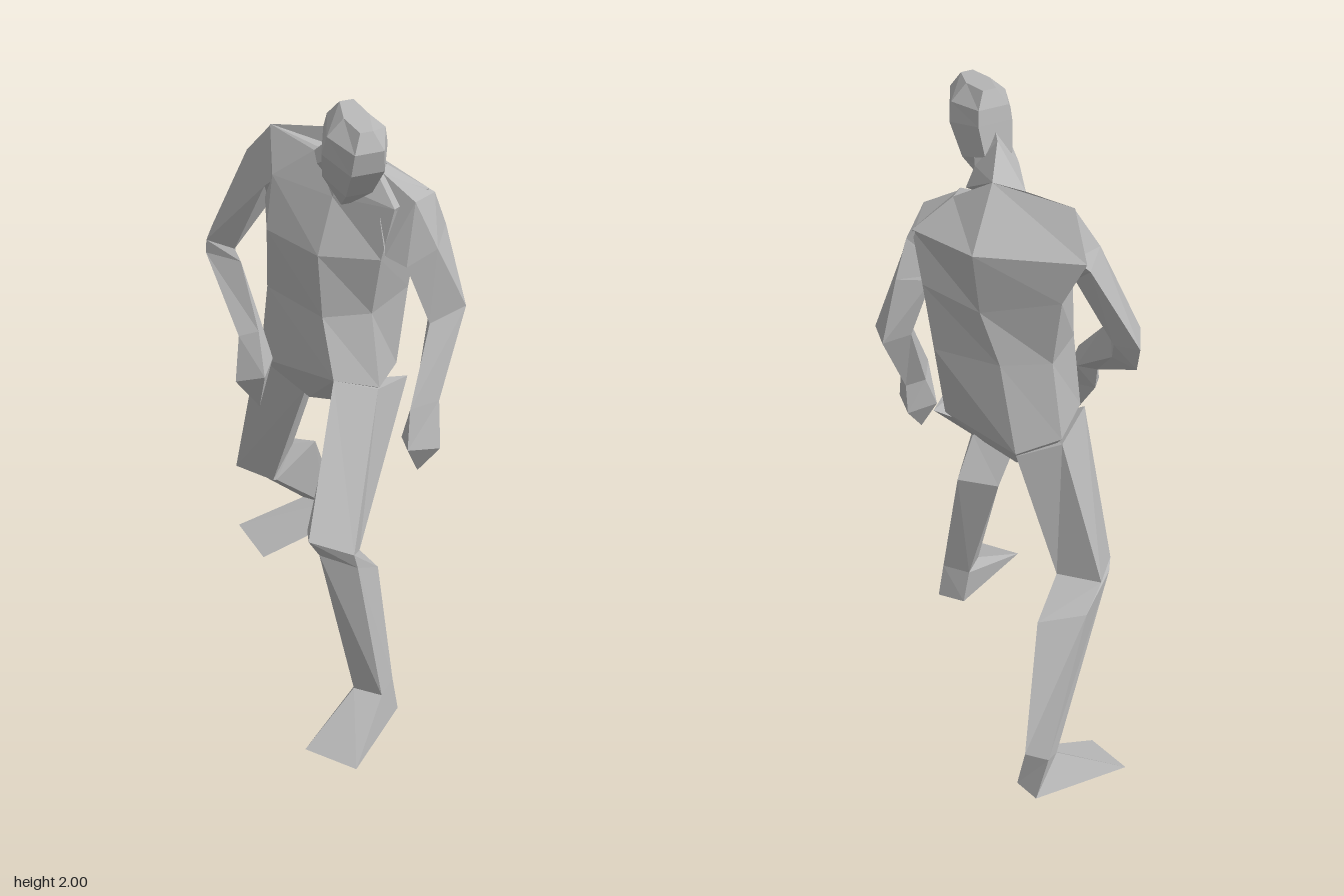
import * as THREE from 'three';

const clay = new THREE.MeshStandardMaterial({ color: 0xb8b8b8, flatShading: true });
clay.name = 'clay grey';

// Joins equal-sized rings of points into a closed faceted solid, facing outward.
function loft(name, rings) {
  const n = rings[0].length;
  const tris = [];
  for (let i = 0; i + 1 < rings.length; i++) {
    const a = rings[i], b = rings[i + 1];
    for (let j = 0; j < n; j++) {
      const k = (j + 1) % n;
      tris.push([a[j], a[k], b[k]], [a[j], b[k], b[j]]);
    }
  }
  const first = rings[0], last = rings[rings.length - 1];
  for (let j = 1; j + 1 < n; j++) {
    tris.push([first[0], first[j + 1], first[j]], [last[0], last[j], last[j + 1]]);
  }
  const V = p => new THREE.Vector3(...p);
  const centre = new THREE.Vector3();
  rings.flat().forEach(p => centre.add(V(p)));
  centre.divideScalar(n * rings.length);
  let volume = 0;
  const solid = tris.filter(([a, b, c]) => a !== b && b !== c && a !== c);
  for (const [a, b, c] of solid) {
    volume += V(a).sub(centre).dot(V(b).sub(centre).cross(V(c).sub(centre)));
  }
  const pos = solid.flatMap(([a, b, c]) => (volume < 0 ? [a, c, b] : [a, b, c])).flat();
  const geo = new THREE.BufferGeometry();
  geo.setAttribute('position', new THREE.Float32BufferAttribute(pos, 3));
  geo.computeVertexNormals();
  const mesh = new THREE.Mesh(geo, clay);
  mesh.name = name;
  return mesh;
}

const tip = (p, n) => Array(n).fill(p);

export function createModel() {
  const group = new THREE.Group();
  group.name = 'walkingFigure';

  // Torso, crotch to shoulders: right back, mid back, left back, left front, mid front, right front
  group.add(loft('torso', [
    [[-.08, .94, -.1], [-.02, .92, -.12], [.1, .93, -.07], [.1, .95, .08], [.0, .92, .06], [-.08, .95, .02]],
    [[-.16, 1.04, -.12], [-.04, 1.0, -.185], [.22, 1.02, -.08], [.245, 1.05, .1], [.135, 1.09, .18], [-.15, 1.03, .08]],
    [[-.12, 1.28, -.09], [.02, 1.28, -.15], [.235, 1.27, -.12], [.2, 1.27, .06], [.08, 1.27, .14], [-.13, 1.28, .07]],
    [[-.15, 1.5, -.1], [.08, 1.45, -.15], [.27, 1.48, -.11], [.235, 1.47, .08], [.07, 1.48, .15], [-.11, 1.5, .11]],
    [[-.22, 1.64, -.09], [.09, 1.655, -.178], [.31, 1.64, -.08], [.27, 1.64, .07], [.09, 1.65, .095], [-.11, 1.66, .07]],
    [[-.157, 1.77, -.015], [.085, 1.81, -.025], [.21, 1.73, -.01], [.21, 1.725, .05], [.1, 1.69, .09], [.01, 1.755, .045]],
  ]));

  // Neck: nape, left, throat, right
  group.add(loft('neck', [
    [[.085, 1.81, -.025], [.19, 1.735, .04], [.11, 1.68, .1], [.01, 1.755, .045]],
    [[.115, 1.87, .1], [.175, 1.79, .075], [.16, 1.7, .155], [.068, 1.78, .15]],
    [[.14, 1.9, .14], [.2, 1.83, .13], [.18, 1.75, .18], [.12, 1.83, .2]],
  ]));

  // Head, turned to the diagonal: back u, back y, front u, front y, half width
  const headRing = ([bu, by, fu, fy, w]) => {
    const at = (t, s) => {
      const u = bu + (fu - bu) * t;
      return [u + w * s + .005, by + (fy - by) * t, u - w * s];
    };
    return [at(0, .55), at(.5, 1), at(1, .5), at(1, -.5), at(.5, -1), at(0, -.55)];
  };
  group.add(loft('head', [
    [.105, 1.75, .153, 1.675, .02],
    [.11, 1.82, .225, 1.76, .055],
    [.125, 1.91, .272, 1.86, .068],
    [.133, 1.955, .28, 1.93, .06],
    [.152, 2.0, .262, 1.982, .026],
  ].map(headRing)));

  // Right arm, bent with the hand near the hip: outer, front, inner, back
  group.add(loft('rightArm', [
    [[-.155, 1.768, -.015], [-.09, 1.66, .07], [-.1, 1.53, .0], [-.18, 1.65, -.09]],
    [[-.235, 1.665, -.02], [-.14, 1.61, .06], [-.155, 1.52, .0], [-.23, 1.62, -.09]],
    [[-.37, 1.36, -.05], [-.34, 1.37, .045], [-.25, 1.36, .04], [-.29, 1.36, -.05]],
    [[-.355, 1.275, -.03], [-.34, 1.33, .05], [-.22, 1.335, .06], [-.27, 1.28, .0]],
    [[-.185, 1.13, .13], [-.17, 1.16, .18], [-.115, 1.18, .16], [-.13, 1.15, .1]],
  ]));
  group.add(loft('rightHand', [
    [[-.185, 1.13, .13], [-.17, 1.16, .18], [-.115, 1.18, .16], [-.13, 1.15, .1]],
    [[-.17, 1.04, .16], [-.16, 1.03, .225], [-.072, 1.06, .21], [-.09, 1.07, .12]],
    tip([-.105, .93, .18], 4),
  ]));

  // Left arm, hanging
  group.add(loft('leftArm', [
    [[.21, 1.727, .03], [.23, 1.6, .08], [.25, 1.48, .0], [.3, 1.64, -.085]],
    [[.32, 1.66, .04], [.25, 1.49, .085], [.26, 1.46, -.02], [.32, 1.62, -.1]],
    [[.375, 1.5, .0], [.31, 1.46, .07], [.27, 1.45, -.04], [.34, 1.5, -.14]],
    [[.435, 1.28, -.08], [.36, 1.25, .01], [.33, 1.26, -.06], [.38, 1.28, -.16]],
    [[.417, 1.03, .06], [.36, 1.03, .14], [.345, 1.0, .08], [.39, 1.0, .03]],
  ]));
  group.add(loft('leftHand', [
    [[.417, 1.03, .06], [.36, 1.03, .14], [.345, 1.0, .08], [.39, 1.0, .03]],
    [[.445, .9, .11], [.37, .91, .175], [.32, .9, .105], [.39, .89, .04]],
    tip([.375, .8, .11], 4),
  ]));

  // Legs and feet: front inner, front outer, back outer, back inner
  const leftAnkle = [[.285, .115, .35], [.375, .115, .345], [.375, .12, .265], [.285, .115, .265]];
  group.add(loft('leftLeg', [
    [[.135, 1.09, .18], [.245, 1.05, .11], [.265, 1.0, -.06], [.06, .93, -.02]],
    [[.187, .715, .46], [.3, .655, .39], [.29, .63, .33], [.135, .67, .36]],
    [[.2, .64, .415], [.305, .6, .375], [.31, .51, .24], [.175, .51, .25]],
    leftAnkle,
  ]));
  group.add(loft('leftFoot', [
    leftAnkle,
    [[.215, 0, .545], [.39, 0, .56], [.39, 0, .255], [.3, 0, .25]],
  ]));

  const rightAnkle = [[-.185, .12, -.45], [-.265, .12, -.45], [-.26, .14, -.51], [-.185, .14, -.51]];
  group.add(loft('rightLeg', [
    [[-.01, .95, .06], [-.17, 1.04, .06], [-.165, 1.03, -.13], [-.04, .99, -.18]],
    [[-.155, .52, -.005], [-.28, .54, .0], [-.3, .56, -.15], [-.16, .56, -.155]],
    [[-.155, .505, -.03], [-.29, .52, -.04], [-.285, .5, -.24], [-.15, .48, -.3]],
    rightAnkle,
  ]));
  group.add(loft('rightFoot', [
    rightAnkle,
    [[-.31, 0, -.24], [-.45, .02, -.34], [-.24, .025, -.565], [-.16, .015, -.51]],
  ]));

  return group;
}
